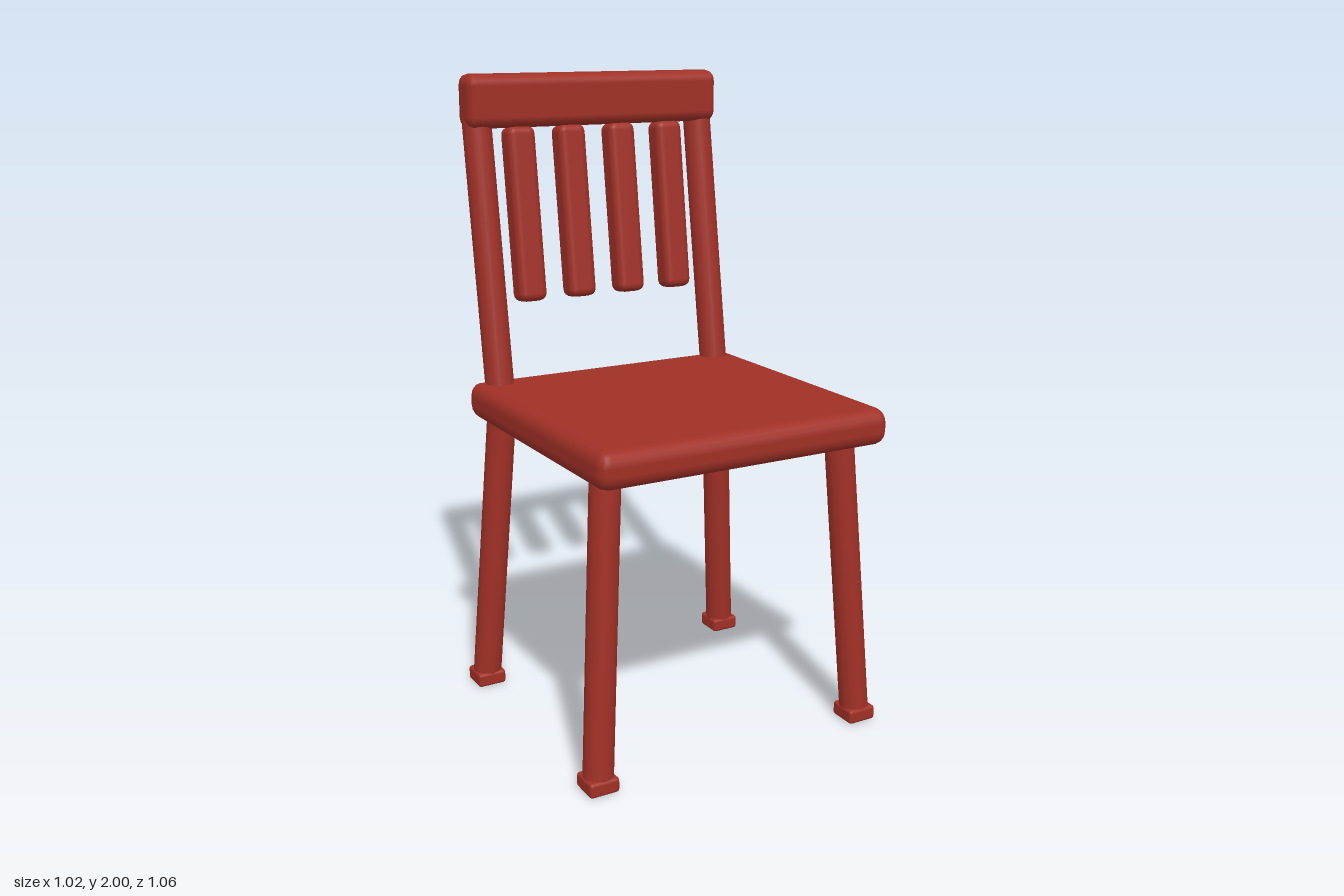
import * as THREE from 'three';
import { RoundedBoxGeometry } from 'three/addons/geometries/RoundedBoxGeometry.js';

export function createModel() {
  const chair = new THREE.Group();
  chair.name = 'chair';
  const redWood = new THREE.MeshStandardMaterial({ color: 0xa03026 });
  redWood.name = 'redWood';

  function add(name, geometry, position) {
    const mesh = new THREE.Mesh(geometry, redWood);
    mesh.name = name;
    mesh.position.set(...position);
    chair.add(mesh);
    return mesh;
  }

  // Box with its own edge rounding along each axis
  function softBox([w, h, d], [rx, ry, rz]) {
    return new RoundedBoxGeometry(w / rx, h / ry, d / rz, 2, 1).scale(rx, ry, rz);
  }

  // Turn an upright mesh so that it runs from one point to another
  function span(name, makeGeometry, from, to) {
    const a = new THREE.Vector3(...from);
    const b = new THREE.Vector3(...to);
    const direction = b.clone().sub(a);
    const mesh = add(name, makeGeometry(direction.length()), a.add(b).multiplyScalar(0.5).toArray());
    mesh.quaternion.setFromUnitVectors(new THREE.Vector3(0, 1, 0), direction.normalize());
  }
  const rod = (length) => new THREE.CylinderGeometry(0.046, 0.046, length, 16);

  // Seat
  add('seat', softBox([0.972, 0.114, 0.944], [0.035, 0.045, 0.045]), [0, 0.983, 0.058]);

  for (const side of [1, -1]) {
    const label = side > 0 ? 'left' : 'right';
    // Splayed legs with square feet
    for (const [end, topZ, footZ] of [['Front', 0.385, 0.435], ['Back', -0.335, -0.387]]) {
      span(label + end + 'Leg', rod, [side * 0.46, 0.025, footZ], [side * 0.4, 0.96, topZ]);
      add(label + end + 'Foot', softBox([0.096, 0.046, 0.096], [0.01, 0.01, 0.01]),
        [side * 0.46, 0.023, footZ]);
    }
    // Back posts
    span(label + 'BackPost', rod, [side * 0.4, 0.97, -0.339], [side * 0.4, 1.935, -0.483]);
  }

  // Slats, hanging from the top rail
  const slat = (length) => softBox([0.095, length, 0.085], [0.025, 0.025, 0.025]);
  for (const x of [-0.267, -0.09, 0.09, 0.267]) {
    span('slat', slat, [x, 1.286, -0.387], [x, 1.836, -0.459]);
  }

  // Top rail
  add('topRail', softBox([0.89, 0.167, 0.118], [0.025, 0.035, 0.04]), [0, 1.9165, -0.467]);

  return chair;
}
